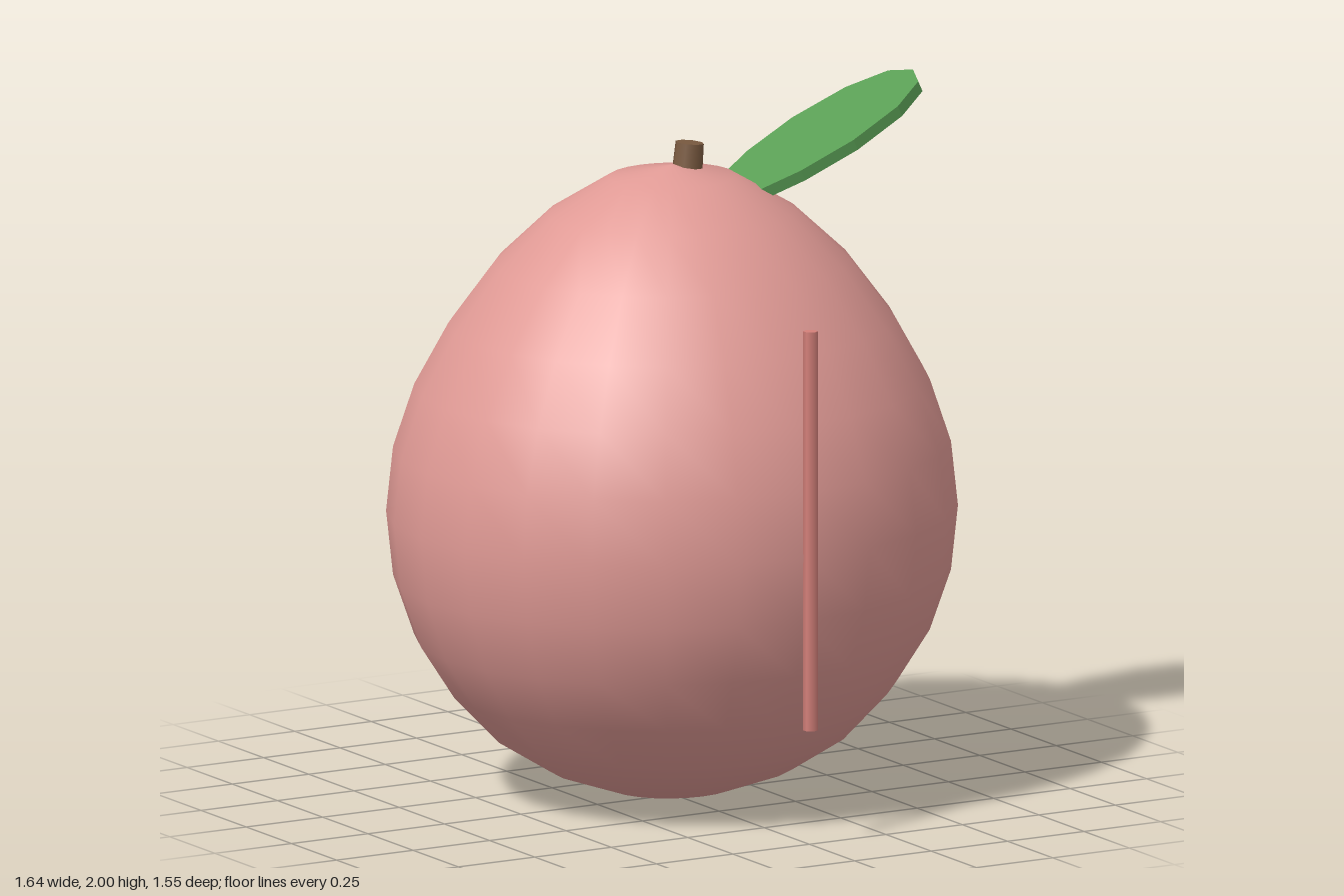
import * as THREE from 'three';

const mat = (name, color, extra = {}) => {
  const m = new THREE.MeshStandardMaterial({ color, ...extra });
  m.name = name;
  return m;
};

export function createModel() {
  const skin = mat('pink skin', 0xe09a95);
  const seam = mat('deep pink crease', 0xd4807a);
  const bark = mat('brown stem', 0x7a5a40);
  const green = mat('leaf green', 0x5a9e55, { flatShading: true });

  const model = new THREE.Group();
  model.name = 'fruit';
  const add = (name, geometry, material) => {
    const mesh = new THREE.Mesh(geometry, material);
    mesh.name = name;
    model.add(mesh);
    return mesh;
  };

  // Body: rounded below, tapering towards the top, slightly flattened in depth
  const profile = [
    [0, 0], [0.183, 0.025], [0.356, 0.085], [0.511, 0.18], [0.641, 0.315],
    [0.739, 0.467], [0.8, 0.64], [0.82, 0.825], [0.8, 1.01], [0.739, 1.19],
    [0.641, 1.365], [0.511, 1.537], [0.356, 1.68], [0.183, 1.782], [0, 1.815],
  ].map(([r, y]) => new THREE.Vector2(r, y));
  const body = add('body', new THREE.LatheGeometry(profile, 24), skin);
  body.scale.z = 0.76 / 0.82;
  body.position.z = -0.01;

  // Crease: thin upright rod on the front
  const crease = add('crease', new THREE.CylinderGeometry(0.021, 0.021, 1.15, 6), seam);
  crease.position.set(0, 0.905, 0.756);

  // Stem: short tilted peg
  const stem = add('stem', new THREE.CylinderGeometry(0.041, 0.046, 0.14, 8), bark);
  stem.position.set(0.051, 1.802, -0.01);
  stem.rotation.z = -0.1;

  // Leaf: thin plate with a symmetric outline, its base sunk in the body
  const half = [[-0.43, 0.04], [-0.3, 0.105], [-0.176, 0.149], [0, 0.17],
    [0.176, 0.145], [0.29, 0.083], [0.325, 0]];
  const outline = [
    ...half.slice(0, -1).map(([u, w]) => new THREE.Vector2(u, -w)),
    ...half.slice().reverse().map(([u, w]) => new THREE.Vector2(u, w)),
  ];
  const thickness = 0.033;
  const leafGeo = new THREE.ExtrudeGeometry(new THREE.Shape(outline), {
    depth: thickness, bevelEnabled: false,
  });
  leafGeo.translate(0, 0, -thickness / 2).rotateX(-Math.PI / 2);
  const leaf = add('leaf', leafGeo, green);
  leaf.rotation.z = THREE.MathUtils.degToRad(25);
  leaf.position.set(0.5, 1.847, -0.01);

  return model;
}
